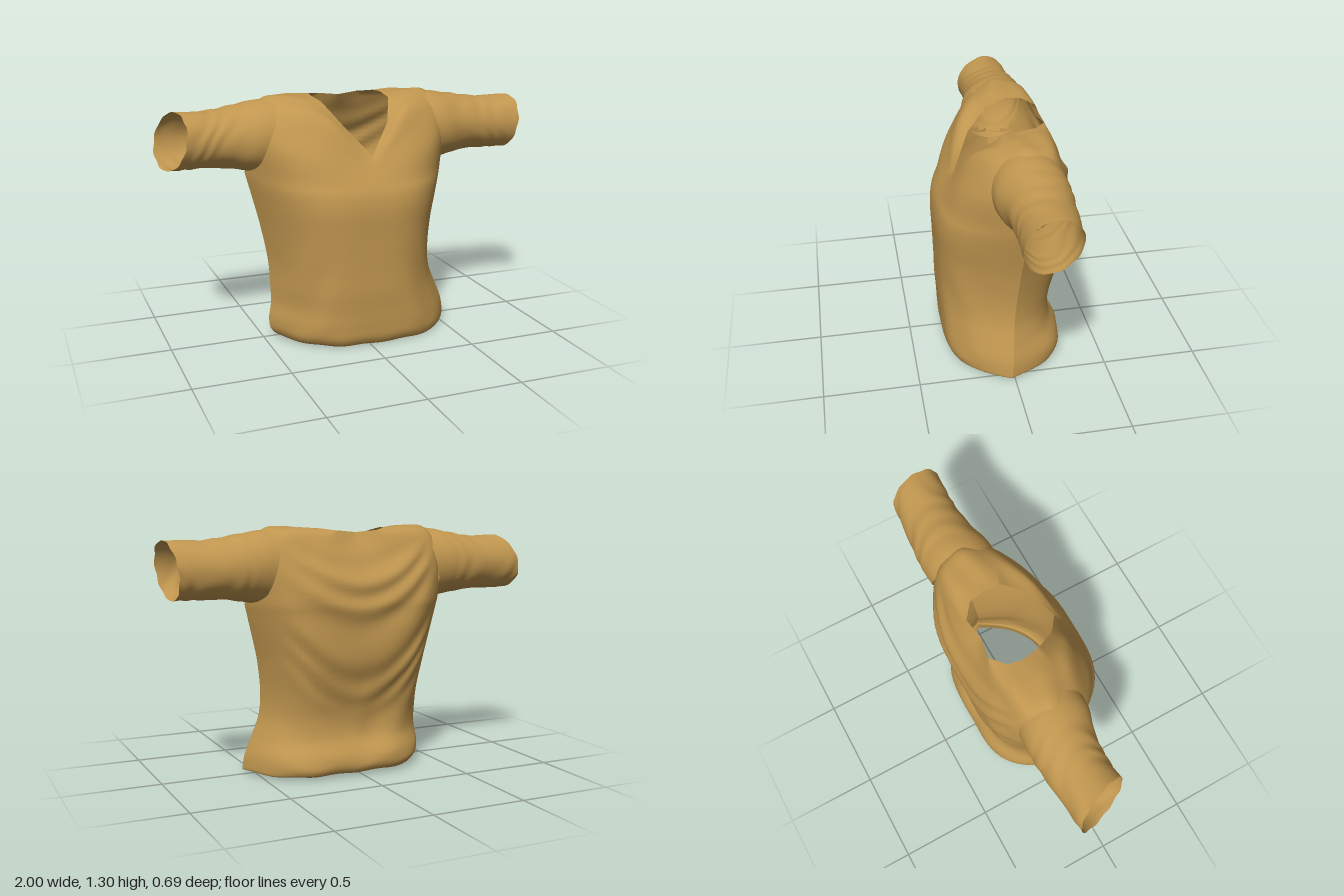
import * as THREE from 'three';

const V = (x, y, z) => new THREE.Vector3(x, y, z);
const SIDES = 120, STEPS = 6;
const smooth = THREE.MathUtils.smoothstep;

// Skin a stack of closed rings; skip(centre) leaves openings.
function skin(rings, flip = false, skip = () => false) {
  const n = rings[0].length, pos = [], idx = [];
  rings.forEach(r => r.forEach(p => pos.push(p.x, p.y, p.z)));
  for (let i = 0; i < rings.length - 1; i++) {
    for (let j = 0; j < n; j++) {
      const k = (j + 1) % n;
      const centre = rings[i][j].clone().add(rings[i + 1][k]).multiplyScalar(0.5);
      if (skip(centre)) continue;
      const a = i * n + j, b = i * n + k, c = a + n, d = b + n;
      if (flip) idx.push(a, b, c, b, d, c);
      else idx.push(a, c, b, b, c, d);
    }
  }
  const g = new THREE.BufferGeometry();
  g.setAttribute('position', new THREE.Float32BufferAttribute(pos, 3));
  g.setIndex(idx);
  g.computeVertexNormals();
  return g;
}

// Body rings from hem to chest: y, right x, left x, front z, back z, front drop
const BODY = [
  [0.032, -0.415, 0.525, 0.285, -0.26, 0.018],
  [0.018, -0.435, 0.56, 0.30, -0.28, 0.016],
  [0.05, -0.462, 0.56, 0.325, -0.302, 0.01],
  [0.11, -0.47, 0.55, 0.332, -0.296, 0],
  [0.20, -0.455, 0.515, 0.335, -0.247, 0],
  [0.30, -0.455, 0.48, 0.34, -0.238, 0],
  [0.42, -0.46, 0.47, 0.34, -0.262, 0],
  [0.60, -0.49, 0.49, 0.343, -0.308, 0],
  [0.75, -0.525, 0.525, 0.345, -0.328, 0.005],
  [0.85, -0.55, 0.55, 0.331, -0.335, 0.025],
  [0.92, -0.565, 0.565, 0.306, -0.34, 0.04],
];

// Yoke rings, half of each from centre back over the shoulder to centre front
const YOKE = [
  [[0, 1.04, -0.322], [0.27, 1.06, -0.31], [0.46, 1.08, -0.235], [0.55, 1.10, -0.08],
    [0.49, 1.08, 0.095], [0.29, 1.00, 0.24], [0, 0.94, 0.272]],
  [[0, 1.15, -0.265], [0.25, 1.19, -0.26], [0.43, 1.245, -0.20], [0.465, 1.28, -0.08],
    [0.44, 1.22, 0.055], [0.26, 1.11, 0.195], [0, 0.968, 0.256]],
  [[0, 1.215, -0.23], [0.17, 1.245, -0.238], [0.31, 1.28, -0.19], [0.34, 1.295, -0.08],
    [0.32, 1.265, 0.045], [0.20, 1.18, 0.165], [0, 0.985, 0.243]],
  [[0, 1.265, -0.20], [0.11, 1.275, -0.22], [0.185, 1.285, -0.16], [0.2, 1.285, -0.085],
    [0.19, 1.265, 0.015], [0.125, 1.155, 0.135], [0, 1.0, 0.23]],
];

// Flat front panel and fuller back, falling away to the sides
function bodyRing([y, xr, xl, zf, zb, drop]) {
  const zs = THREE.MathUtils.lerp(0.02, -0.06, y / 0.92);
  return Array.from({ length: SIDES }, (_, j) => {
    const t = j / SIDES * Math.PI * 2, c = Math.cos(t), s = Math.sin(t);
    const depth = 1 - Math.pow(Math.abs(c), s > 0 ? 3.5 : 4.5);
    return V((xr + xl) / 2 + (xl - xr) / 2 * c, y - drop * Math.max(0, s),
      zs + depth * ((s > 0 ? zf : zb) - zs));
  });
}

function yokeRing(half, row) {
  const pts = Array.from({ length: 12 }, (_, k) => {
    const [x, y, z] = half[k <= 3 ? k + 3 : k <= 9 ? 9 - k : k - 9];
    const shift = row * (0.003 + 0.009 * Math.max(0, Math.sin(k * Math.PI / 6)));
    return V((k > 3 && k < 9 ? -x : x) + shift, y, z);
  });
  const curve = new THREE.CatmullRomCurve3(pts, true);
  return Array.from({ length: SIDES }, (_, j) => {
    if (row < 3) return curve.getPoint(j / SIDES);
    const f = j / SIDES * 12, k = Math.floor(f); // straight neckline edges keep the V sharp
    return pts[k].clone().lerp(pts[(k + 1) % 12], f - k);
  });
}

// Hanging folds across the back, soft pulls on the front and hem
function drape(p) {
  const { x, y, z } = p;
  const back = smooth(-z, 0.1, 0.22), front = smooth(z, 0.08, 0.22);
  const swag = y - (1.3 + 1.6 * Math.max(0, 1.1 - y)) * x * x;
  const backMask = back * smooth(y, 0.25, 0.6) * (1 - smooth(y, 1.12, 1.24))
    * (1 - smooth(Math.abs(x), 0.3, 0.46));
  p.z -= 0.008 * backMask * Math.sin(swag * 32 + 1.6 * Math.sin(swag * 11 + 2) + 4 * x);
  const low = (1 - smooth(y, 0.35, 0.7)) * smooth(y, 0.03, 0.12);
  const hip = smooth(Math.abs(x), 0.15, 0.35);
  p.z += 0.007 * front * low * hip * Math.sin(26 * Math.abs(x) + 12 * y);
  p.z -= 0.006 * back * low * Math.sin(20 * Math.abs(x) - 12 * y);
  const hem = 1 - smooth(y, 0.03, 0.1);
  p.y += 0.003 * hem * (1 + Math.sin(27 * x + 9 * z));
  const shoulder = smooth(y, 1.0, 1.15) * smooth(Math.abs(x), 0.18, 0.3);
  p.y += 0.004 * shoulder * Math.sin(42 * z + 9 * Math.abs(x));
}

// Where a sleeve begins; s runs from -1 under the arm to 1 on top
const sleeveStart = s => 0.455 - 0.05 * s;

function torso() {
  const keys = [...BODY.map(bodyRing), ...YOKE.map(yokeRing)];
  const levels = (keys.length - 1) * STEPS;
  const columns = Array.from({ length: SIDES }, (_, j) =>
    new THREE.CatmullRomCurve3(keys.map(r => r[j])).getPoints(levels));
  const rings = Array.from({ length: levels + 1 }, (_, i) => columns.map(c => c[i]));
  rings.forEach(r => r.forEach(drape));
  // armholes
  return skin(rings, false, c => {
    const s = (c.y - 1.09) / 0.165;
    return Math.abs(c.x) > sleeveStart(s) + 0.015 && s * s + ((c.z + 0.075) / 0.165) ** 2 < 1;
  });
}

// Sleeve sections: position along, top y, bottom y, front z, back z
const SLEEVE = [
  [0, 1.28, 0.905, 0.112, -0.25],
  [0.15, 1.278, 0.918, 0.105, -0.256],
  [0.35, 1.26, 0.933, 0.075, -0.253],
  [0.6, 1.237, 0.94, 0.06, -0.24],
  [0.8, 1.232, 0.94, 0.06, -0.23],
  [1, 1.235, 0.94, 0.068, -0.22],
];

function sleeve(side) {
  const n = 64;
  const columns = Array.from({ length: n }, (_, j) => {
    const t = j / n * Math.PI * 2, c = Math.cos(t), s = Math.sin(t);
    // slanted cuffs, different on each arm
    const end = (side > 0 ? 0.965 + 0.02 * c + 0.02 * s : 0.94 - 0.055 * c - 0.03 * s)
      + 0.003 * Math.sin(9 * t);
    const pts = SLEEVE.map(([u, top, bottom, zf, zb]) => V(
      side * THREE.MathUtils.lerp(sleeveStart(s), end, u),
      (top + bottom) / 2 + (top - bottom) / 2 * s,
      (zf + zb) / 2 + (zf - zb) / 2 * c));
    const path = new THREE.CatmullRomCurve3(pts).getPoints(40);
    // faint uneven wrinkles round the arm
    path.forEach((p, i) => {
      const u = i / 40;
      const w = 0.0022 * smooth(u, 0.15, 0.4)
        * Math.sin(u * 27 + 3 * Math.sin(t * 2 + side) + 2 * Math.sin(u * 9 + t));
      p.y += w * s;
      p.z += w * c;
    });
    return path;
  });
  const rings = columns[0].map((_, i) => columns.map(c => c[i]));
  return skin(rings, side < 0);
}

export function createModel() {
  const cloth = new THREE.MeshStandardMaterial({ color: 0xc0964f, side: THREE.DoubleSide });
  cloth.name = 'ochre cloth';
  const group = new THREE.Group();
  group.name = 'shirt';
  const add = (name, geometry) => {
    const mesh = new THREE.Mesh(geometry, cloth);
    mesh.name = name;
    group.add(mesh);
  };
  add('torso', torso());
  add('leftSleeve', sleeve(1));
  add('rightSleeve', sleeve(-1));
  return group;
}
